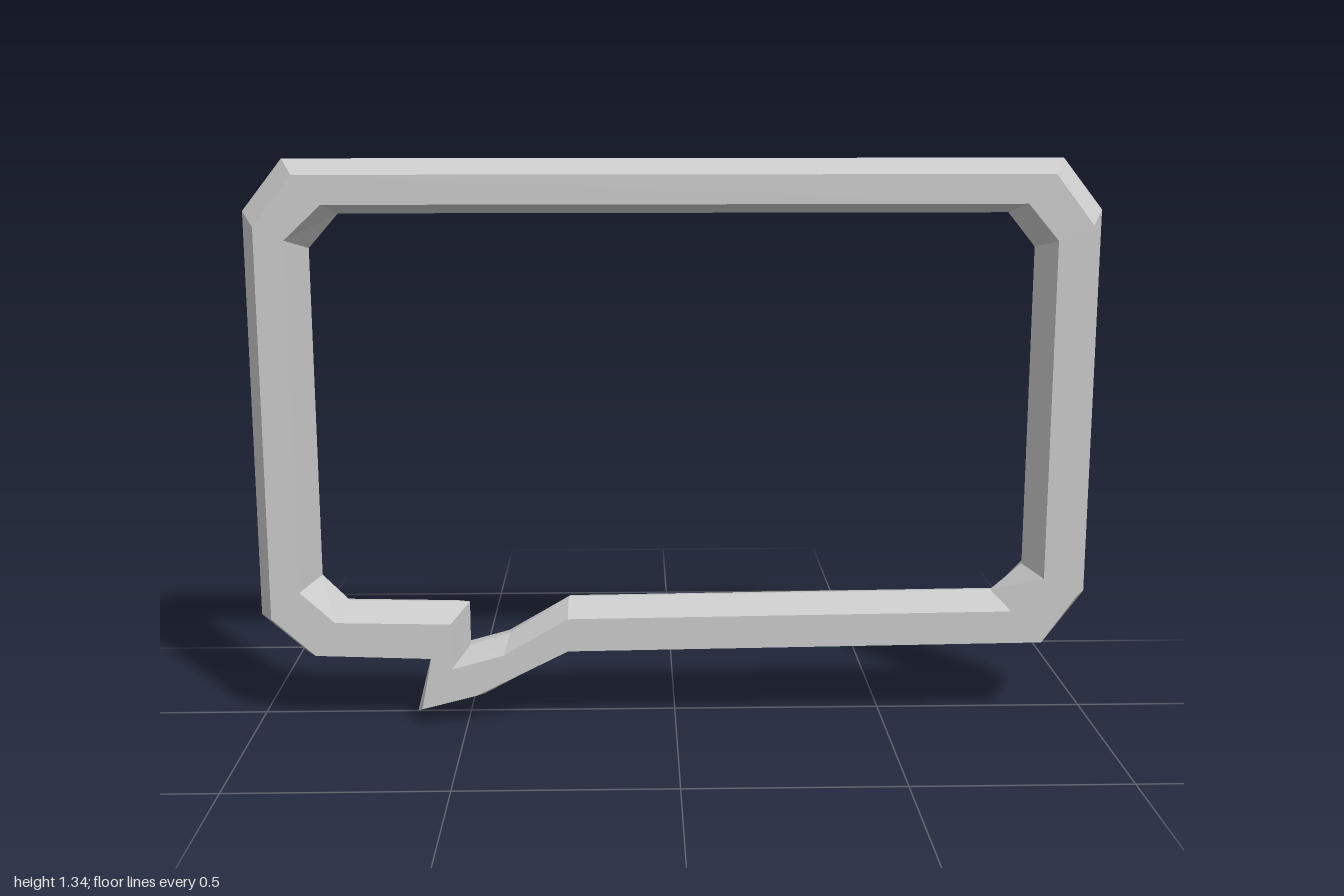
import * as THREE from 'three';

// Half depth of the flat front and back faces; the ridges lie at z = 0.
const DEPTH = 0.1;

// Four outlines of the speech bubble, clockwise from the top left:
// top (2), right side (2), bottom right, tail (4), bottom left, left side (2).
const outerRidge = [
  [-0.905, 1.34], [0.905, 1.34], [1, 1.22], [1, 0.294], [0.905, 0.166], [-0.257, 0.155],
  [-0.465, 0.043], [-0.63, 0], [-0.594, 0.142], [-0.893, 0.155], [-1, 0.25], [-1, 1.22],
];
const outerFace = [
  [-0.866, 1.307], [0.866, 1.307], [0.957, 1.19], [0.957, 0.31], [0.877, 0.195], [-0.257, 0.182],
  [-0.476, 0.073], [-0.607, 0.04], [-0.583, 0.166], [-0.856, 0.176], [-0.957, 0.267], [-0.957, 1.19],
];
const innerFace = [
  [-0.802, 1.24], [0.805, 1.24], [0.877, 1.155], [0.877, 0.353], [0.802, 0.273], [-0.257, 0.262],
  [-0.41, 0.173], [-0.535, 0.139], [-0.535, 0.251], [-0.807, 0.257], [-0.888, 0.332], [-0.888, 1.16],
];
const innerRidge = [
  [-0.78, 1.214], [0.78, 1.214], [0.845, 1.134], [0.845, 0.364], [0.77, 0.299], [-0.257, 0.289],
  [-0.4, 0.198], [-0.497, 0.17], [-0.497, 0.278], [-0.786, 0.283], [-0.85, 0.348], [-0.85, 1.134],
];

// Six-sided cross-section swept around the closed outline.
function frameGeometry() {
  const rings = [
    [outerRidge, 0], [outerFace, DEPTH], [innerFace, DEPTH],
    [innerRidge, 0], [innerFace, -DEPTH], [outerFace, -DEPTH],
  ];
  const n = outerRidge.length;
  const positions = [];
  const corner = (ring, i) => [...rings[ring % rings.length][0][i % n], rings[ring % rings.length][1]];
  for (let j = 0; j < rings.length; j++) {
    for (let i = 0; i < n; i++) {
      const a = corner(j, i), b = corner(j, i + 1);
      const c = corner(j + 1, i + 1), d = corner(j + 1, i);
      positions.push(...a, ...d, ...c, ...a, ...c, ...b);
    }
  }
  const geometry = new THREE.BufferGeometry();
  geometry.setAttribute('position', new THREE.Float32BufferAttribute(positions, 3));
  geometry.computeVertexNormals();
  return geometry;
}

export function createModel() {
  const group = new THREE.Group();
  group.name = 'speechBubble';
  const material = new THREE.MeshStandardMaterial({ color: 0xcccccc, flatShading: true });
  const frame = new THREE.Mesh(frameGeometry(), material);
  frame.name = 'bubbleFrame';
  group.add(frame);
  return group;
}
